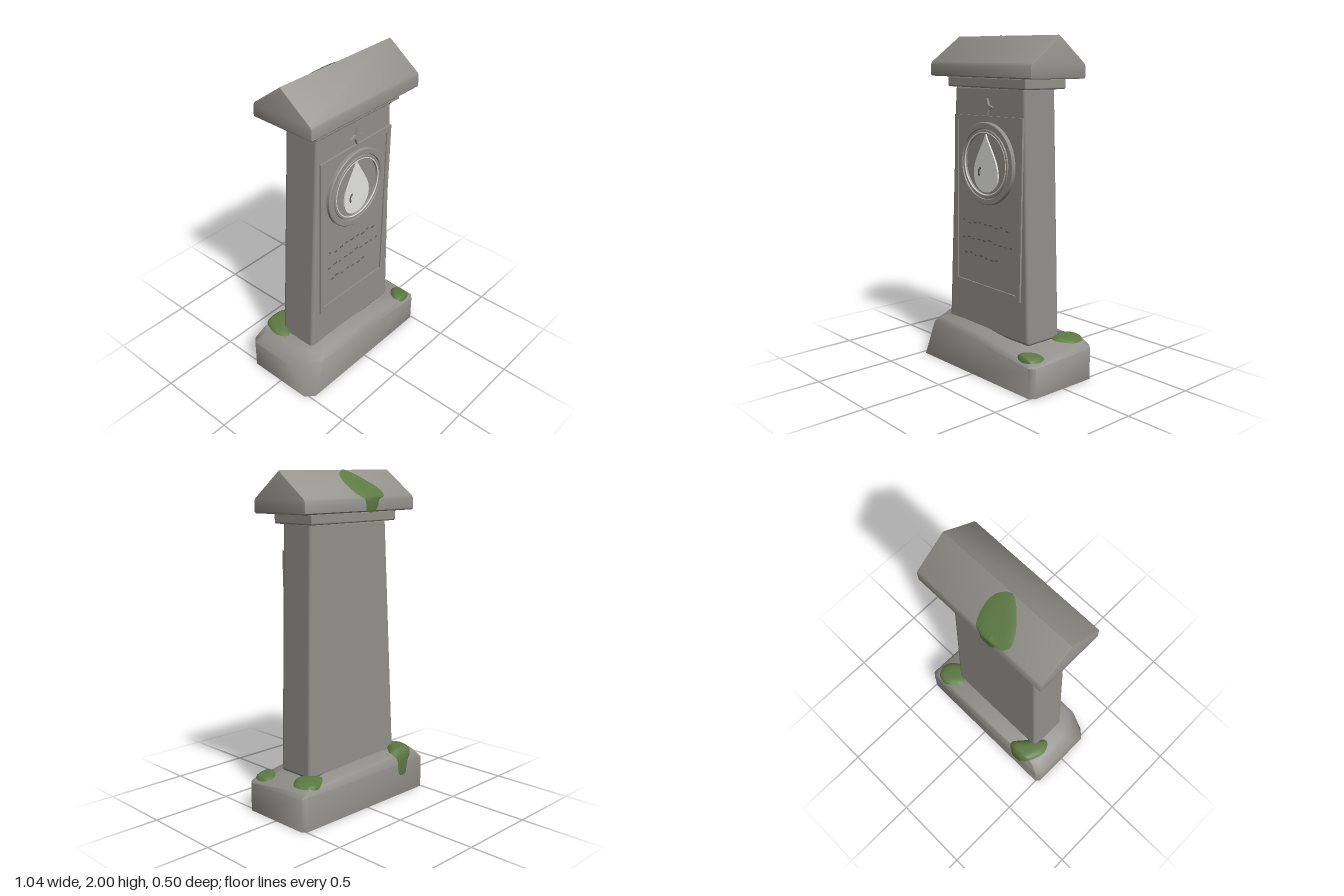
import * as THREE from 'three';
import { toCreasedNormals, mergeVertices } from 'three/addons/utils/BufferGeometryUtils.js';
import { RoundedBoxGeometry } from 'three/addons/geometries/RoundedBoxGeometry.js';

export function createModel() {
  const model = new THREE.Group();
  const mat = (name, color, side = THREE.FrontSide) => {
    const m = new THREE.MeshStandardMaterial({ color, side });
    m.name = name;
    return m;
  };
  const stone = mat('stone', 0x93918c, THREE.DoubleSide);
  const engraving = mat('engraving', 0x65635f);
  const pale = mat('paleStone', 0xe6e6e4);
  const moss = mat('moss', 0x5c7a42, THREE.DoubleSide);

  const add = (name, geometry, material, x = 0, y = 0, z = 0) => {
    const mesh = new THREE.Mesh(geometry, material);
    mesh.name = name;
    mesh.position.set(x, y, z);
    model.add(mesh);
    return mesh;
  };
  const polygon = (pts) => new THREE.Shape(pts.map(([x, y]) => new THREE.Vector2(x, y)));
  const slab = (shape, depth, curveSegments = 16) =>
    new THREE.ExtrudeGeometry(shape, { depth, bevelEnabled: false, curveSegments });

  // Weathered plinth: rings joined upward, closed on top, open below
  const rings = [
    [[-.52, 0, .2], [-.47, 0, .25], [.02, 0, .25], [.49, 0, .25], [.52, 0, .22],
      [.52, 0, -.22], [.49, 0, -.242], [-.495, 0, -.242], [-.52, 0, -.22]],
    [[-.517, .19, .1], [-.38, .235, .24], [.02, .222, .25], [.49, .175, .25], [.52, .175, .22],
      [.52, .19, -.22], [.49, .2, -.242], [-.495, .2, -.242], [-.52, .19, -.22]],
    [[-.45, .262, .06], [-.36, .266, .212], [.02, .257, .225], [.46, .197, .228], [.495, .194, .2],
      [.495, .218, -.19], [.46, .233, -.22], [-.43, .265, -.22], [-.45, .262, -.18]],
  ];
  const sides = rings[0].length;
  const basePos = [...rings.flat(2), 0, .27, 0];
  const baseIdx = [];
  for (let i = 0; i < sides; i++) {
    const j = (i + 1) % sides;
    for (let r = 0; r < 2; r++) {
      const a = r * sides + i, b = r * sides + j;
      baseIdx.push(a, b, b + sides, a, b + sides, a + sides);
    }
    baseIdx.push(2 * sides + i, 2 * sides + j, 3 * sides);
  }
  const base = new THREE.BufferGeometry();
  base.setAttribute('position', new THREE.Float32BufferAttribute(basePos, 3));
  base.setIndex(baseIdx);
  add('base', toCreasedNormals(base, 1.0), stone);

  // Tapered column with rounded corners; each side moves to its own plane
  const bottom = 0.235, top = 1.71;
  const column = new RoundedBoxGeometry(1, top - bottom, 0.25, 3, 0.022);
  const p = column.attributes.position;
  for (let i = 0; i < p.count; i++) {
    const t = p.getY(i) / (top - bottom) + 0.5;
    const px = p.getX(i), pz = p.getZ(i);
    p.setX(i, px < 0 ? px + .133 + .077 * t : px - .138 - .037 * t);
    p.setZ(i, pz < 0 ? pz + .005 + .015 * t : pz + .005);
  }
  add('column', column, stone, 0, (top + bottom) / 2, 0);

  // Trim plate and gabled cap, leaning slightly
  const trim = add('capTrim', new RoundedBoxGeometry(0.685, 0.062, 0.312, 2, 0.01), stone, .02, 1.729, .004);
  trim.rotation.z = -0.012;
  const gable = polygon([[-.208, -.112], [.2, -.112], [.207, -.105], [.207, -.044], [.198, -.027],
    [0, .123], [-.206, -.027], [-.215, -.044], [-.215, -.105]]);
  const cap = new THREE.ExtrudeGeometry(gable, {
    depth: 0.864, bevelThickness: 0.01, bevelSize: 0.01, bevelOffset: -0.01, bevelSegments: 2,
  });
  cap.translate(0, 0, -0.432);
  cap.rotateY(Math.PI / 2);
  add('cap', toCreasedNormals(cap, 0.65), stone, .021, 1.87, 0).rotation.z = -0.013;

  // Front panel with a raised frame
  const inner = [[-.252, 1.51], [.285, 1.502], [.267, .52], [-.267, .53]];
  const frame = polygon([[-.278, 1.537], [-.294, .49], [.3, .487], [.32, 1.54]]);
  frame.holes.push(polygon(inner));
  add('panelFrame', slab(frame, 0.02), stone, 0, 0, 0.122);
  add('panel', slab(polygon(inner), 0.012), stone, 0, 0, 0.122);

  // Four-pointed star
  const star = [];
  for (let i = 0; i < 8; i++) {
    const a = i * Math.PI / 4, r = i % 2 ? 0.018 : 0.051;
    star.push([Math.cos(a) * r, Math.sin(a) * r]);
  }
  add('star', slab(polygon(star), 0.02), stone, .018, 1.59, .124);

  // Round medallion with stepped rim
  const cx = .013, cy = 1.262;
  const profile = [[.242, 0], [.242, .022], [.237, .027], [.208, .027], [.205, .02], [.2, .02],
    [.197, .026], [.184, .026], [.18, .01], [0, .01]];
  const disc = new THREE.LatheGeometry(profile.map(([r, y]) => new THREE.Vector2(r, y)), 48);
  disc.rotateX(Math.PI / 2);
  add('medallion', toCreasedNormals(disc, 0.5), stone, cx, cy, .13);
  add('medallionRim', new THREE.TorusGeometry(.183, .004, 6, 48), pale, cx, cy, .154);

  // Droplet and its small curved mark
  const drop = new THREE.Shape();
  drop.moveTo(0, .173);
  drop.bezierCurveTo(-.03, .1, -.107, .02, -.107, -.063);
  drop.bezierCurveTo(-.107, -.125, -.06, -.168, 0, -.168);
  drop.bezierCurveTo(.06, -.168, .107, -.125, .107, -.063);
  drop.bezierCurveTo(.107, .02, .03, .1, 0, .173);
  add('droplet', slab(drop, 0.012), pale, cx, cy, .138);
  add('dropletMark', new THREE.RingGeometry(.022, .037, 10, 1, Math.PI * .6, Math.PI * .65),
    engraving, -.018, 1.208, .1515);

  // Worn rows of plain dashes
  let seed = 7;
  const rand = () => (seed = (seed * 16807) % 2147483647) / 2147483647;
  [[.895, -.21, .21], [.795, -.22, .23], [.7, -.2, .13]].forEach(([y, x0, x1]) => {
    for (let x = x0; x < x1; x += 0.048) {
      const w = 0.012 + rand() * 0.018;
      add('wornDash', new THREE.BoxGeometry(w, 0.009, 0.004), engraving,
        x + w / 2, y + (rand() - 0.5) * 0.024, .135);
    }
  });

  // Domed moss patches, folded over the edges of the stone below
  const onRoof = (x, z) => {
    const over = Math.max(0, -.2 - z);
    const zz = Math.max(z, -.207);
    return [x, 1.993 - .013 * x - .755 * Math.min(Math.abs(z), .2) - over, zz];
  };
  const onBase = (x, z) => {
    const over = Math.max(0, Math.abs(z) - .22);
    const slope = z > 0 ? .155 : .08;
    const y = .27 - slope * Math.max(0, x) - 1.5 * over - .7 * Math.max(0, Math.abs(x) - .49);
    return [x, y, Math.sign(z) * Math.min(Math.abs(z), .242)];
  };
  const mossPatch = (name, outline, surface, thick) => {
    const curve = new THREE.CatmullRomCurve3(outline.map(([x, z]) => new THREE.Vector3(x, 0, z)), true);
    const N = 32, R = 8, pos = [], idx = [];
    const edge = curve.getPoints(N).slice(0, N);
    const mid = edge.reduce((s, v) => s.add(v), new THREE.Vector3()).divideScalar(N);
    for (let r = 0; r <= R; r++) {
      const t = r / R, lift = .003 + thick * (1 - t ** 4);
      edge.forEach((e) => {
        const [x, y, z] = surface(mid.x + (e.x - mid.x) * t, mid.z + (e.z - mid.z) * t);
        const out = Math.abs(z) > .2 ? Math.sign(z) * Math.min(lift, .008) : 0;
        pos.push(x, y + lift, z + out);
      });
    }
    for (let r = 0; r < R; r++) for (let i = 0; i < N; i++) {
      const a = r * N + i, b = r * N + (i + 1) % N;
      if (r > 0) idx.push(a, b, b + N);
      idx.push(a, b + N, a + N);
    }
    let g = new THREE.BufferGeometry();
    g.setAttribute('position', new THREE.Float32BufferAttribute(pos, 3));
    g.setIndex(idx);
    g = mergeVertices(g, 1e-5);
    // outlines run clockwise or not; keep every dome facing up
    g.computeVertexNormals();
    if (g.attributes.normal.getY(0) < 0) {
      g.setIndex([...g.index.array].reverse());
      g.computeVertexNormals();
    }
    add(name, g, moss);
  };
  mossPatch('roofMoss', [[-.025, 0], [.04, -.04], [.06, -.1], [.04, -.19], [.0, -.225], [-.01, -.28],
    [-.06, -.29], [-.1, -.26], [-.11, -.22], [-.16, -.2], [-.18, -.17], [-.155, -.11], [-.08, -.03]], onRoof, .009);
  mossPatch('backRightMoss', [[-.4, -.04], [-.34, -.08], [-.29, -.14], [-.235, -.215], [-.265, -.25],
    [-.28, -.31], [-.34, -.315], [-.36, -.26], [-.4, -.225], [-.43, -.17], [-.44, -.1]], onBase, .024);
  mossPatch('backLeftMoss', [[.45, -.08], [.485, -.12], [.488, -.17], [.46, -.215], [.4, -.23],
    [.34, -.2], [.3, -.15], [.33, -.09], [.39, -.05]], onBase, .02);
  mossPatch('frontLeftMoss', [[.38, .225], [.43, .236], [.48, .22], [.503, .17], [.49, .12],
    [.45, .11], [.4, .14], [.37, .19]], onBase, .02);

  return model;
}
